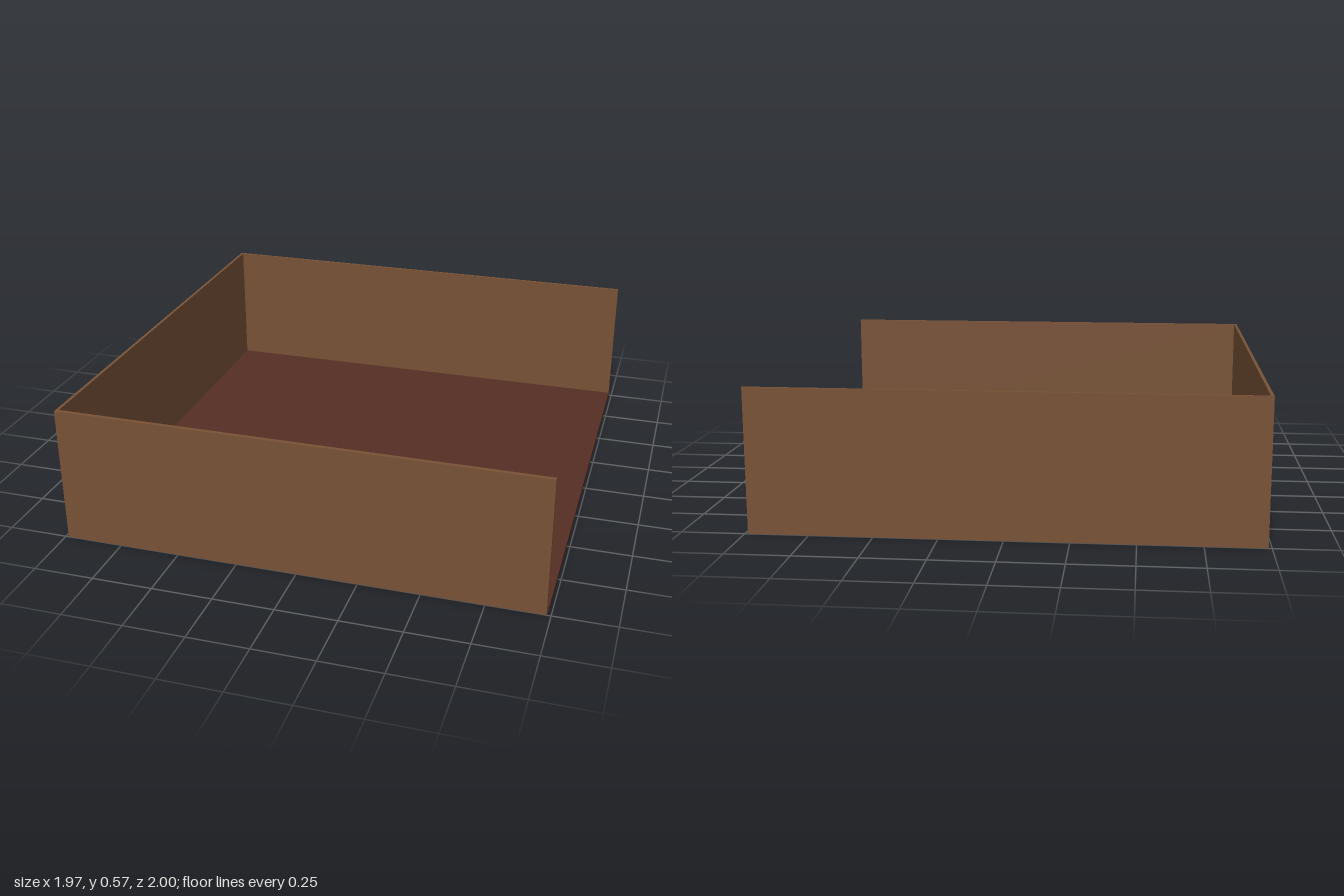
import * as THREE from 'three';

export function createModel() {
  const group = new THREE.Group();
  const wood = new THREE.MeshStandardMaterial({ color: 0x785236 });
  wood.name = 'brown wood';
  const darkWood = new THREE.MeshStandardMaterial({ color: 0x562e24 });
  darkWood.name = 'dark red wood';

  // Box given by its lower and upper corners
  const board = (name, material, [x0, y0, z0], [x1, y1, z1]) => {
    const mesh = new THREE.Mesh(new THREE.BoxGeometry(x1 - x0, y1 - y0, z1 - z0), material);
    mesh.position.set((x0 + x1) / 2, (y0 + y1) / 2, (z0 + z1) / 2);
    mesh.name = name;
    group.add(mesh);
  };

  const height = 0.573;

  // Floor stops just short of the front wall
  board('floor', darkWood, [-0.974, 0, -0.988], [0.987, 0.018, 0.971]);

  // Three walls; the +x side stays open
  board('frontWall', wood, [-0.987, 0, 0.983], [0.983, height, 1]);
  board('backWall', wood, [-0.987, 0, -1], [0.987, height, -0.988]);
  board('sideWall', wood, [-0.987, 0, -0.988], [-0.974, height, 0.983]);

  // Tiny peg on the floor
  const peg = new THREE.Mesh(new THREE.SphereGeometry(0.01, 12, 8), darkWood);
  peg.position.set(0.475, 0.023, 0.295);
  peg.name = 'floorPeg';
  group.add(peg);

  return group;
}
